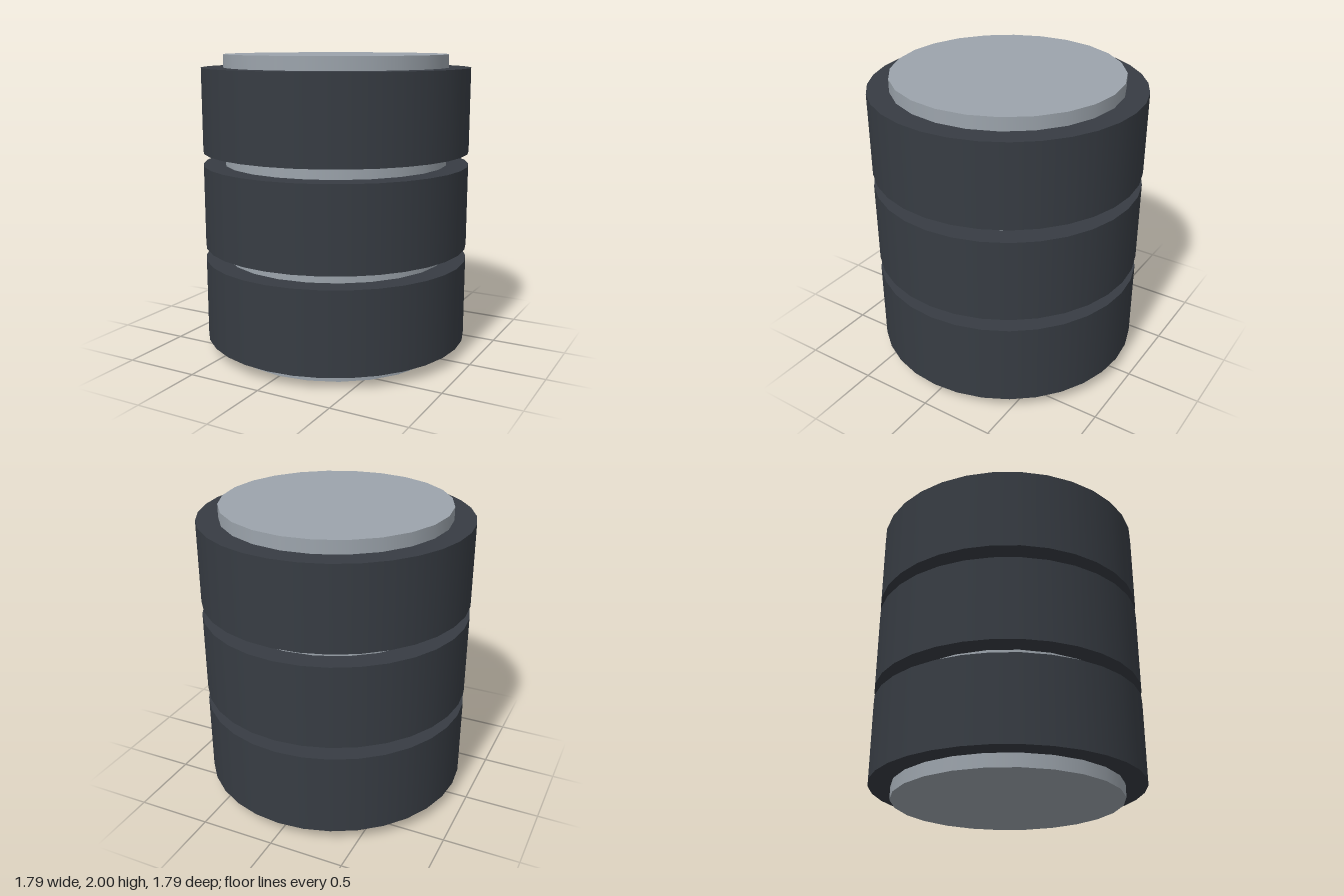
import * as THREE from 'three';

export function createModel() {
  const model = new THREE.Group();
  model.name = 'bandedCylinder';

  const paleMetal = new THREE.MeshStandardMaterial({ color: 0x9ca4ac });
  paleMetal.name = 'pale grey';
  const darkRubber = new THREE.MeshStandardMaterial({ color: 0x373c43 });
  darkRubber.name = 'dark grey';

  // Upright cylinder centred at height y
  function addCylinder(name, radius, height, y, sides, material) {
    const mesh = new THREE.Mesh(new THREE.CylinderGeometry(radius, radius, height, sides), material);
    mesh.name = name;
    mesh.position.y = y;
    model.add(mesh);
  }

  // Core running the full height
  addCylinder('core', 0.751, 2, 1, 24, paleMetal);

  // Three wide bands with gaps that show the core
  ['lowerBand', 'middleBand', 'upperBand'].forEach((name, i) => {
    addCylinder(name, 0.894, 0.553, 1 + (i - 1) * 0.638, 32, darkRubber);
  });

  return model;
}
